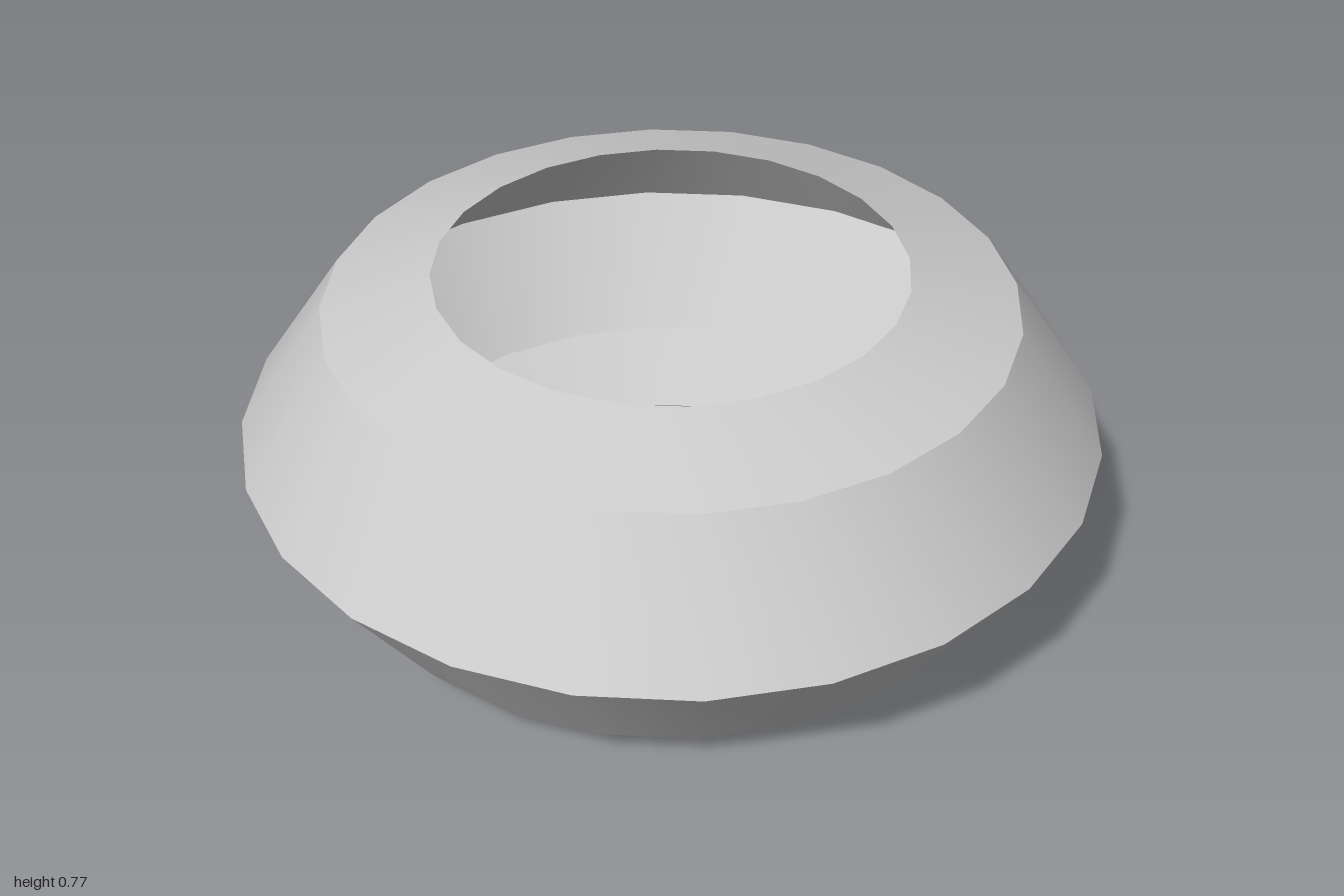
import * as THREE from 'three';
import { toCreasedNormals } from 'three/addons/utils/BufferGeometryUtils.js';

export function createModel() {
  const group = new THREE.Group();
  group.name = 'hollowRing';

  // Upper half of the profile as [radius, height above the middle]
  const half = [[1, 0], [0.793, 0.305], [0.54, 0.385]];
  const middle = 0.385;

  // Mirror it downwards: lower rim, widest edge, upper rim
  const profile = [
    ...half.slice(1).reverse().map(([r, h]) => new THREE.Vector2(r, middle - h)),
    ...half.map(([r, h]) => new THREE.Vector2(r, middle + h)),
  ];

  // Thin open shell, smooth around its axis with sharp edges between the bands
  const geometry = toCreasedNormals(new THREE.LatheGeometry(profile, 24), 0.4);
  const material = new THREE.MeshStandardMaterial({ color: 0xcccccc, side: THREE.DoubleSide });
  const shell = new THREE.Mesh(geometry, material);
  shell.name = 'shell';
  group.add(shell);

  return group;
}
